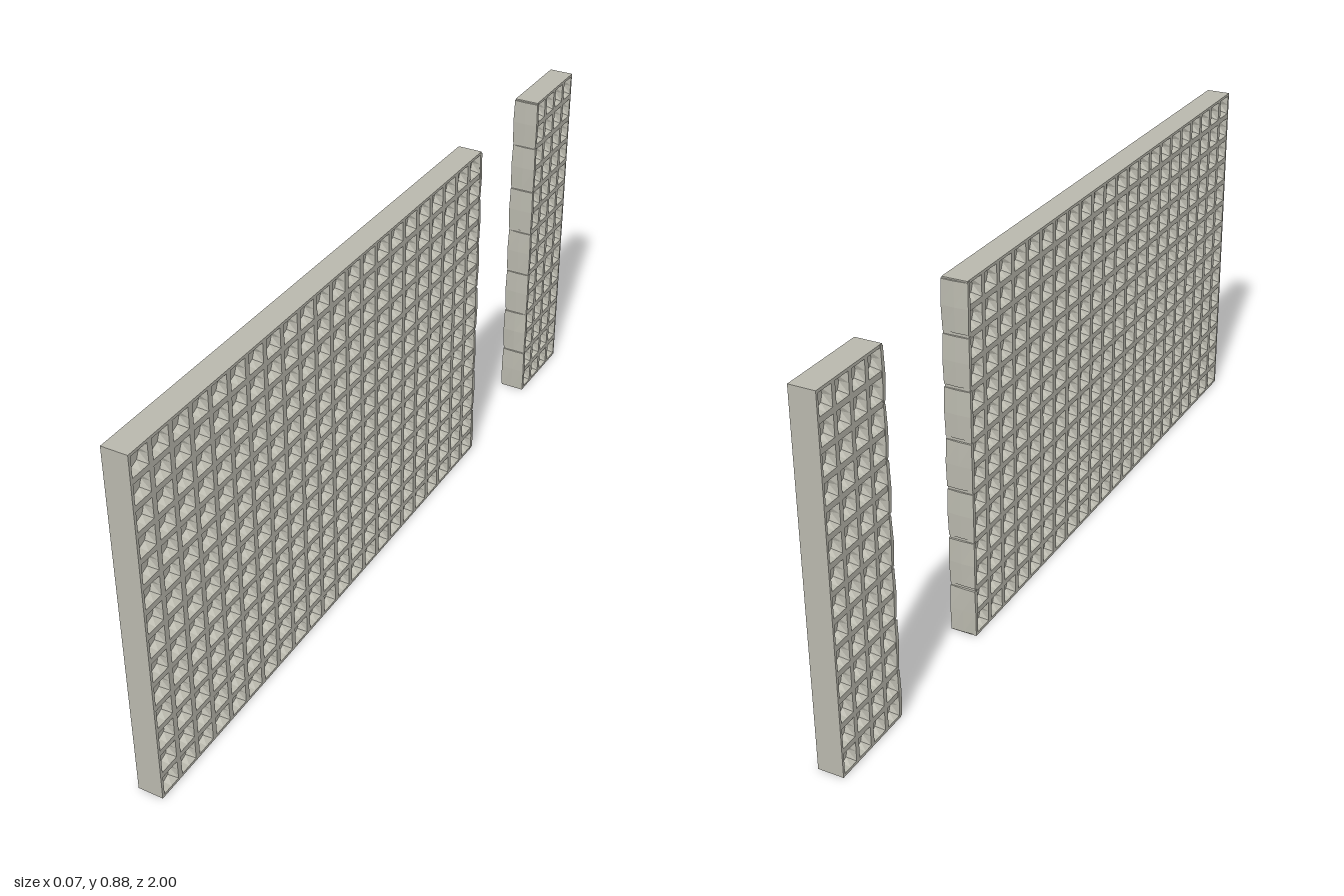
import * as THREE from 'three';

const HEIGHT = 0.885, HALF = 0.031, DEPTH = 0.021, ROWS = 14, COURSES = 7;

// small seeded generator for the rough stones
let seed = 7;
const rand = () => (seed = (seed * 16807) % 2147483647) / 2147483647;

// one waffle face looking along +x, centred on y = 0 and z = 0
function waffleGeometry(width, cols) {
  const pos = [];
  const pu = width / cols, pv = HEIGHT / ROWS;
  const dirs = [[1, 0], [1, 1], [0, 1], [-1, 1], [-1, 0], [-1, -1], [0, -1], [1, -1]];
  const tri = (...pts) => pts.forEach(p => pos.push(...p));
  for (let r = 0; r < ROWS; r++) for (let c = 0; c < cols; c++) {
    const u0 = (c + 0.5) * pu - width / 2, v0 = (r + 0.5) * pv - HEIGHT / 2;
    const loop = (x, s, round) => dirs.map(([u, v]) => {
      const k = round ? s / Math.hypot(u, v) : s;
      return [x, v0 + v * k * pv, -(u0 + u * k * pu)];
    });
    // cell border, square opening, octagonal floor
    const loops = [loop(HALF, 0.5), loop(HALF, 0.39), loop(HALF - DEPTH, 0.36, true)];
    for (let i = 0; i < 8; i++) {
      const j = (i + 1) % 8;
      for (let k = 0; k < 2; k++) {
        const a = loops[k], b = loops[k + 1];
        tri(a[i], a[j], b[j], a[i], b[j], b[i]);
      }
      tri(loops[2][i], loops[2][j], [HALF - DEPTH, v0, -u0]);
    }
  }
  const g = new THREE.BufferGeometry();
  g.setAttribute('position', new THREE.Float32BufferAttribute(pos, 3));
  g.computeVertexNormals();
  return g;
}

// rough-cut end stone, its outer face towards +z
function stoneGeometry(h) {
  const g = new THREE.BoxGeometry(HALF * 2 + 0.002, h, 0.012, 2, 2, 1).toNonIndexed();
  const p = g.attributes.position;
  const bulge = 0.002 + rand() * 0.002, tilt = (rand() - 0.5) * 0.003;
  for (let i = 0; i < p.count; i++) {
    const sx = p.getX(i) / HALF, sy = p.getY(i) / (h / 2);
    p.setX(i, p.getX(i) * (1 + 0.04 * (1 - sy * sy)));
    if (p.getZ(i) > 0) {
      p.setZ(i, p.getZ(i) - bulge * (sx * sx + sy * sy) / 2 + tilt * sx * sy);
      p.setY(i, p.getY(i) * 0.96);
    }
  }
  g.computeVertexNormals();
  return g;
}

export function createModel() {
  const model = new THREE.Group();
  model.name = 'waffleWall';
  const concrete = new THREE.MeshStandardMaterial({ color: 0xbab9ae });
  concrete.name = 'warm grey concrete';

  const add = (parent, name, geo) => {
    const m = new THREE.Mesh(geo, concrete);
    m.name = name;
    parent.add(m);
    return m;
  };

  // panel from z0 to z1; dir is the side of the rough broken end
  function panel(name, z0, z1, cols, dir) {
    const g = new THREE.Group();
    g.name = name;
    const width = z1 - z0;
    g.position.set(0, HEIGHT / 2, (z0 + z1) / 2);

    // coffered faces on both sides
    const waffle = waffleGeometry(width, cols);
    add(g, 'leftWaffleFace', waffle);
    add(g, 'rightWaffleFace', waffle).rotation.y = Math.PI;

    // plain top, bottom and ends
    for (const s of [1, -1]) {
      const cap = add(g, s > 0 ? 'topEdge' : 'bottomEdge', new THREE.PlaneGeometry(HALF * 2, width));
      cap.rotation.x = -s * Math.PI / 2;
      cap.position.y = s * HEIGHT / 2;
      const end = add(g, s > 0 ? 'frontEnd' : 'backEnd', new THREE.PlaneGeometry(HALF * 2, HEIGHT));
      end.rotation.y = s > 0 ? 0 : Math.PI;
      end.position.z = s * width / 2;
    }

    // stacked stones along the opening
    const pitch = HEIGHT / COURSES;
    for (let i = 0; i < COURSES; i++) {
      const stone = add(g, 'jambStone', stoneGeometry(pitch - 0.003));
      stone.position.set(0, (i + 0.5) * pitch - HEIGHT / 2, dir * (width / 2 - 0.001));
      stone.rotation.y = dir > 0 ? 0 : Math.PI;
    }
    model.add(g);
  }

  panel('longPanel', -0.45, 1, 22, -1);
  panel('shortPanel', -1, -0.778, 4, 1);
  return model;
}
